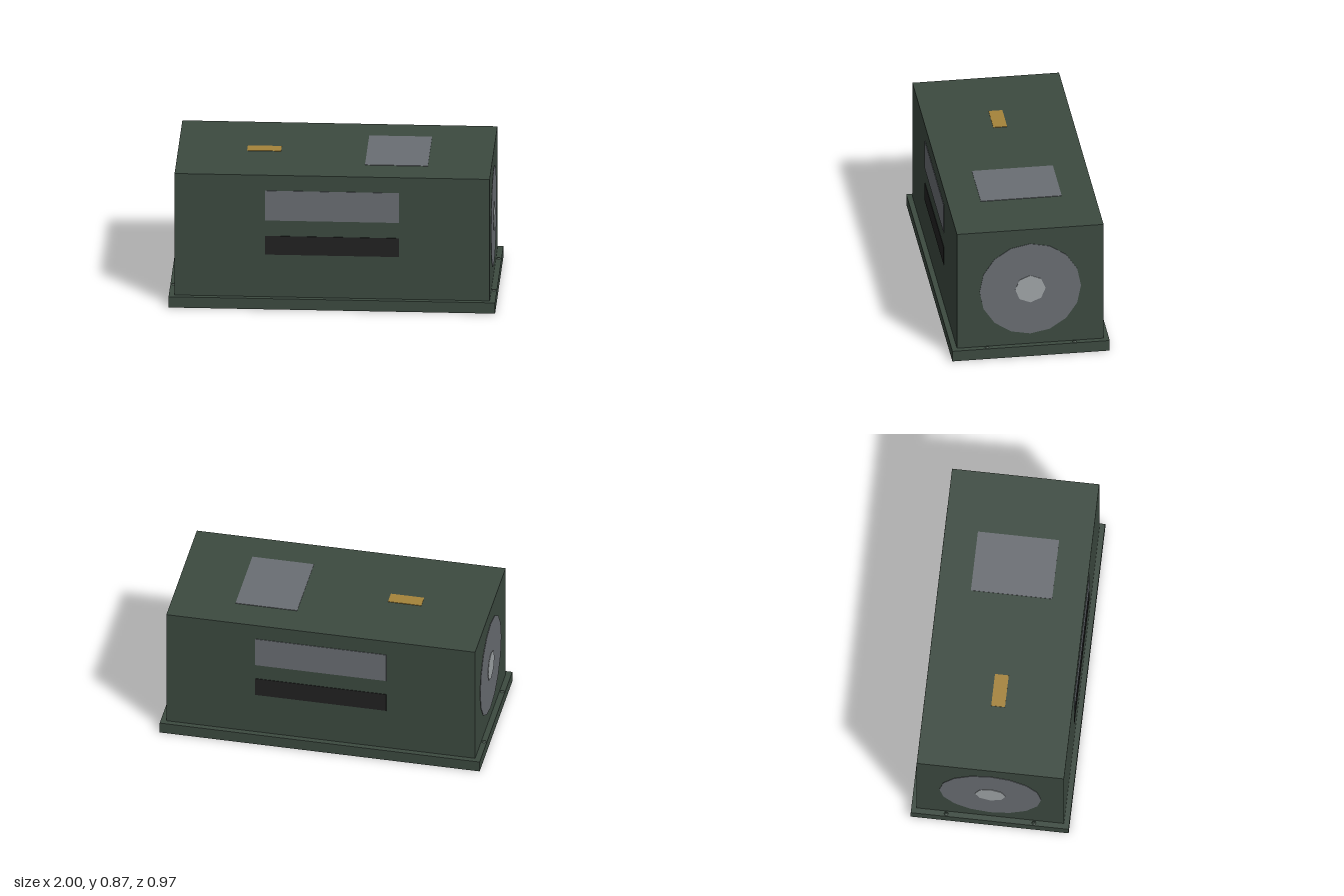
import * as THREE from 'three';

const mat = (name, color, side = THREE.FrontSide) => {
  const m = new THREE.MeshStandardMaterial({ color, side });
  m.name = name;
  return m;
};

export function createModel() {
  const model = new THREE.Group();
  model.name = 'equipmentCase';
  const green = mat('darkGreen', 0x3c4a40, THREE.DoubleSide);
  const grey = mat('panelGrey', 0x6a6e73);
  const pale = mat('paleGrey', 0xa0a5a8);
  const black = mat('black', 0x222222);
  const brass = mat('brass', 0xa5833a);

  const add = (name, geometry, material, x = 0, y = 0, z = 0) => {
    const mesh = new THREE.Mesh(geometry, material);
    mesh.name = name;
    mesh.position.set(x, y, z);
    model.add(mesh);
    return mesh;
  };
  const box = (w, h, d) => new THREE.BoxGeometry(w, h, d);

  const W = 1.93, D = 0.906, RIM = 0.07, TOP = 0.866; // case size and rim height
  const T = 0.003; // plate thickness

  // Main case
  add('body', box(W, TOP - RIM, D), green, 0, (TOP + RIM) / 2, 0);

  // Hollow base tray, open underneath
  add('trayTop', box(2, 0.002, 0.972), green, 0, RIM - 0.001, 0);
  for (const s of [-1, 1]) {
    add('traySide', box(0.002, RIM, 0.972), green, s * 0.999, RIM / 2, 0);
    add('trayLong', box(2, RIM, 0.002), green, 0, RIM / 2, s * 0.485);
  }

  for (const s of [-1, 1]) {
    // Label panel and slot on each long side
    add('sidePanel', box(0.82, 0.195, T), grey, 0, 0.668, s * (D + T) / 2);
    add('sideSlot', box(0.82, 0.122, T), black, 0, 0.408, s * (D + T) / 2);

    // Round end plate with hub, a corner pointing up
    const disc = add('endDisc', new THREE.CylinderGeometry(0.313, 0.313, T, 16), grey, s * (W + T) / 2, 0.453, 0);
    const hub = add('endHub', new THREE.CylinderGeometry(0.094, 0.094, T, 8), pale, s * (W / 2 + T * 1.5), 0.453, 0);
    disc.rotation.z = hub.rotation.z = Math.PI / 2;

    // Small bolts on the tray ledges
    for (const z of [-0.27, 0.27]) {
      add('bolt', new THREE.CylinderGeometry(0.006, 0.014, 0.007, 6), green, s * 0.982, RIM + 0.0035, z);
    }
  }

  // Top plates
  add('topPanel', box(0.385, T, 0.5), grey, 0.383, TOP + T / 2, 0);
  add('namePlate', box(0.208, T, 0.085), brass, -0.438, TOP + T / 2, 0);

  return model;
}
